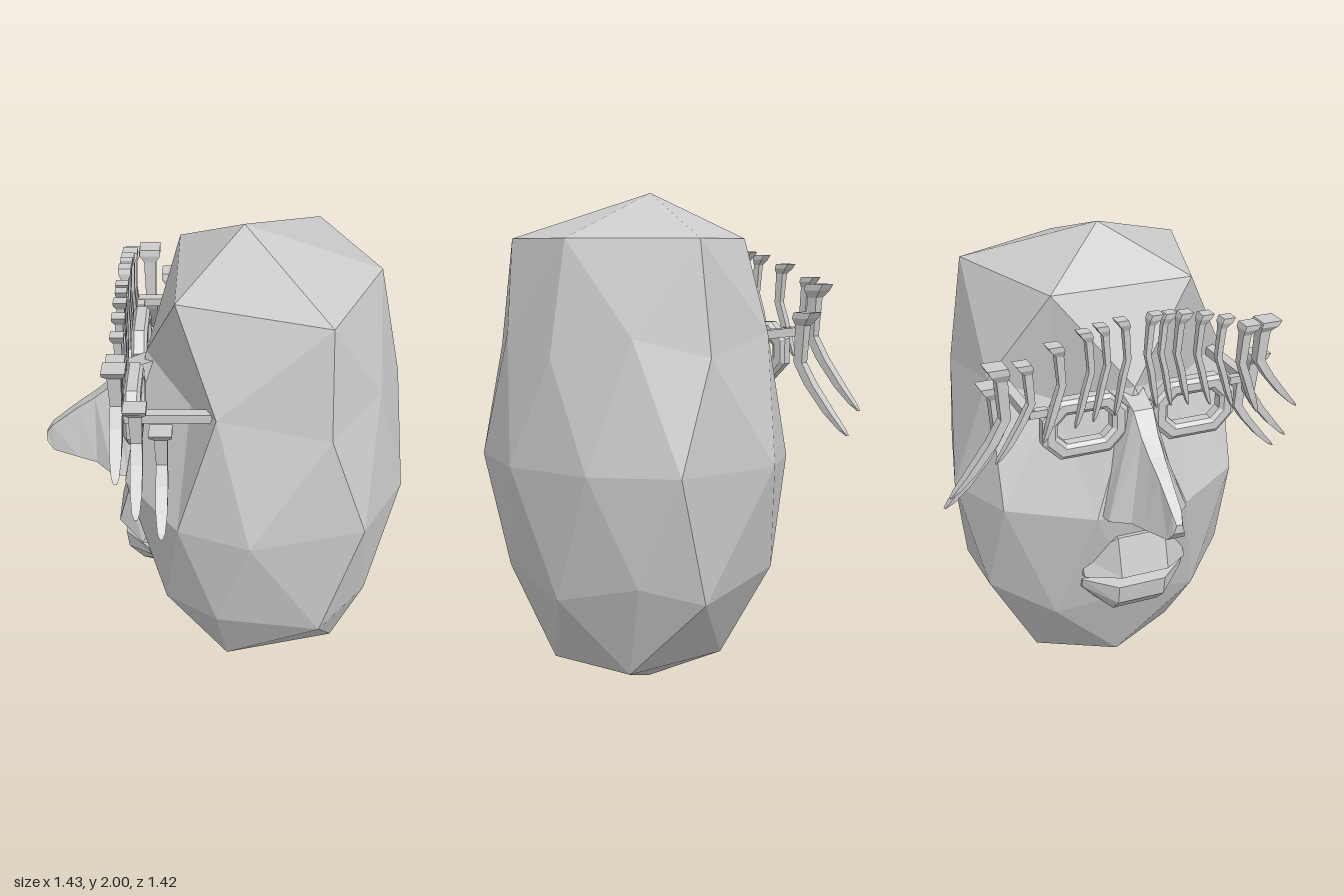
import * as THREE from 'three';

const ZC = 0.037; // symmetry plane of the head
const material = new THREE.MeshStandardMaterial({ color: 0xcccccc, flatShading: true });

function addMesh(parent, geometry, name) {
  const mesh = new THREE.Mesh(geometry, material);
  mesh.name = name;
  parent.add(mesh);
  return mesh;
}

// Faceted geometry from triangles of points, turned outwards by signed volume
function facets(tris) {
  const volume = tris.reduce((s, [a, b, c]) => s + a.dot(b.clone().cross(c)), 0);
  const points = tris.flatMap(([a, b, c]) => (volume < 0 ? [a, c, b] : [a, b, c]));
  const g = new THREE.BufferGeometry().setFromPoints(points);
  g.computeVertexNormals();
  return g;
}

// Closed skin over equal-sized cross-sections, capped at both ends
function loft(sections) {
  const rings = sections.map(s => s.map(p => new THREE.Vector3(...p)));
  const tris = [], n = rings[0].length, last = rings[rings.length - 1];
  for (let r = 0; r + 1 < rings.length; r++) {
    const a = rings[r], b = rings[r + 1];
    for (let i = 0; i < n; i++) {
      const j = (i + 1) % n;
      tris.push([a[i], a[j], b[j]], [a[i], b[j], b[i]]);
    }
  }
  for (let i = 1; i + 1 < n; i++) {
    tris.push([rings[0][0], rings[0][i + 1], rings[0][i]], [last[0], last[i], last[i + 1]]);
  }
  return facets(tris);
}

// Head: subdivided icosahedron pattern, each ring given as [x, y, half width]
function headGeometry() {
  const point = ([x, y, h], side) => new THREE.Vector3(x, y, ZC + side * h);
  const ring = half => [
    ...half.map(p => point(p, 1)),
    ...half.filter(p => p[2] > 0).reverse().map(p => point(p, -1)),
  ];
  const top = new THREE.Vector3(0.08, 2, ZC), bottom = new THREE.Vector3(0.1, 0, ZC);
  const crown = ring([[0.6, 1.82, 0], [0.39, 1.82, 0.466], [-0.17, 1.82, 0.288]]);
  const brow = ring([[0.69, 1.38, 0], [0.59, 1.46, 0.308], [0.4, 1.39, 0.524],
    [-0.02, 1.46, 0.498], [-0.12, 1.38, 0.27], [-0.3, 1.46, 0]]);
  const middle = ring([[0.715, 0.96, 0.19], [0.545, 0.96, 0.498], [0.105, 0.96, 0.616],
    [-0.17, 0.955, 0.498], [-0.39, 0.965, 0.19]]);
  const jaw = ring([[0.665, 0.455, 0], [0.58, 0.53, 0.324], [0.39, 0.455, 0.498],
    [-0.02, 0.53, 0.524], [-0.23, 0.465, 0.308], [-0.3, 0.53, 0]]);
  const chin = ring([[0.467, 0.145, 0.193], [0.02, 0.145, 0.31], [-0.145, 0.145, 0]]);
  const tris = [];
  for (let i = 0; i < 5; i++) {
    const j = (i + 1) % 5, e = 2 * i, o = e + 1, f = (e + 2) % 10, q = (e + 3) % 10;
    tris.push([top, crown[j], crown[i]], [crown[i], brow[o], brow[e]],
      [crown[i], crown[j], brow[o]], [crown[j], brow[f], brow[o]]);
    tris.push([bottom, chin[i], chin[j]], [chin[i], jaw[o], jaw[f]],
      [chin[i], jaw[f], chin[j]], [chin[j], jaw[f], jaw[q]]);
  }
  for (let k = 0; k < 10; k++) {
    const n = (k + 1) % 10;
    tris.push([brow[k], brow[n], middle[k]], [middle[k], brow[n], middle[n]],
      [jaw[k], middle[k], jaw[n]], [middle[k], middle[n], jaw[n]]);
  }
  return facets(tris);
}

// Nose: trapezoid sections [x, top y, bottom y, top half width, bottom half width]
function noseGeometry() {
  return loft([
    [-0.717, 1.08, 1.045, 0.012, 0.022], [-0.69, 1.12, 1.01, 0.02, 0.035],
    [-0.58, 1.21, 1.0, 0.025, 0.075], [-0.51, 1.26, 0.995, 0.03, 0.1],
    [-0.44, 1.32, 0.98, 0.035, 0.165], [-0.38, 1.4, 0.975, 0.04, 0.168],
    [-0.22, 1.46, 0.97, 0.05, 0.17],
  ].map(([x, t, b, ht, hb]) => [[x, t, ZC - ht], [x, t, ZC + ht], [x, b, ZC + hb], [x, b, ZC - hb]]));
}

// Lip: an x-y profile swept across the mouth, sinking back and closing at the corners
function lipGeometry(profile) {
  return loft([[-0.22, 0.12, 0.45], [-0.1, 0.02, 1], [0.1, 0.02, 1], [0.22, 0.12, 0.45]]
    .map(([z, back, s]) => profile.map(([x, y]) => [x + back - 0.02, 0.655 + (y - 0.655) * s, ZC + z])));
}

// Rim of one lens: rounded frame with a hole
function rimGeometry() {
  const outline = (Path, w, h, c) => new Path([
    [-w, -h + c], [-w + c, -h], [w - c, -h], [w, -h + c],
    [w, h - c], [w - c, h], [-w + c, h], [-w, h - c],
  ].map(p => new THREE.Vector2(...p)));
  const shape = outline(THREE.Shape, 0.155, 0.105, 0.06);
  shape.holes.push(outline(THREE.Path, 0.125, 0.075, 0.045));
  const g = new THREE.ExtrudeGeometry(shape, {
    depth: 0.04, bevelEnabled: true, bevelSegments: 1, bevelSize: 0.015, bevelThickness: 0.012,
  });
  return g.translate(0, 0, -0.02).rotateY(Math.PI / 2);
}

// Lash: flared head, slim stem and a tip that sweeps sideways
function lashGeometry({ x, z, top, tip, w, reach }) {
  const dir = Math.sign(reach), h = top - tip;
  return loft([
    // [drop, sideways offset, half width in x, half depth in z]
    [0, dir * 0.02, w, w * 0.95], [0.05, dir * 0.01, w, w * 0.85],
    [0.11, 0, w * 0.6, w * 0.5], [0.42, -dir * 0.01, w * 0.5, w * 0.45],
    [0.6, reach * 0.2, w * 0.55, w * 0.45], [0.82, reach * 0.6, w * 0.5, w * 0.4],
    [0.95, reach * 0.88, w * 0.35, w * 0.25], [1, reach, w * 0.15, w * 0.08],
  ].map(([d, dz, hx, hz]) => [[-1, -1], [1, -1], [1, 1], [-1, 1]]
    .map(([sx, sz]) => [x + sx * hx, top - d * h, z + dz + sz * hz])));
}

export function createModel() {
  const model = new THREE.Group();
  model.name = 'headWithGlasses';

  addMesh(model, headGeometry(), 'head');
  addMesh(model, noseGeometry(), 'nose');

  const mouth = new THREE.Group();
  mouth.name = 'mouth';
  addMesh(mouth, lipGeometry([[-0.385, 0.86], [-0.43, 0.7], [-0.31, 0.665], [-0.29, 0.86]]), 'upperLip');
  addMesh(mouth, lipGeometry([[-0.31, 0.655], [-0.405, 0.64], [-0.395, 0.56], [-0.335, 0.5], [-0.22, 0.47]]), 'lowerLip');
  model.add(mouth);

  // Glasses: two rims, a bridge and two temples
  const glasses = new THREE.Group();
  glasses.name = 'glasses';
  for (const side of [-1, 1]) {
    addMesh(glasses, rimGeometry(), 'rim').position.set(-0.335, 1.36, ZC + side * 0.225);
    addMesh(glasses, new THREE.BoxGeometry(0.33, 0.035, 0.04), 'temple').position.set(-0.19, 1.445, ZC + side * 0.443);
    addMesh(glasses, new THREE.BoxGeometry(0.03, 0.03, 0.07), 'hinge').position.set(-0.345, 1.445, ZC + side * 0.41);
  }
  addMesh(glasses, new THREE.BoxGeometry(0.03, 0.03, 0.13), 'bridge').position.set(-0.335, 1.39, ZC);
  model.add(glasses);

  // Lashes: an arched row in front of the rims
  const lashes = new THREE.Group();
  lashes.name = 'lashes';
  const row = [[-0.42, 0.03], [-0.3, 0.03], [-0.185, 0.025], [-0.12, 0.024], [-0.04, 0.024],
    [0.06, 0.024], [0.115, 0.022], [0.18, 0.025], [0.265, 0.025], [0.355, 0.025], [0.455, 0.034]];
  for (const [z, w] of row) {
    const top = 1.78 - 0.55 * (z - ZC) ** 2, out = Math.abs(z - ZC);
    addMesh(lashes, lashGeometry({
      x: -0.377, z, w, top, tip: top - 0.38, reach: Math.sign(z - ZC) * (z < -0.4 ? 0.13 : 0.03 + 0.1 * out),
    }), 'lash');
  }
  // Long lashes beside the temples
  for (const [x, z, top, tip, reach] of [
    [-0.377, 0.53, 1.69, 1.3, 0.17], [-0.31, 0.53, 1.53, 1.14, 0.17], [-0.22, 0.53, 1.43, 1.05, 0.17],
    [-0.31, -0.5, 1.64, 1.14, -0.21], [-0.22, -0.5, 1.53, 1.05, -0.21],
  ]) addMesh(lashes, lashGeometry({ x, z, top, tip, reach, w: 0.042 }), 'sideLash');
  model.add(lashes);

  return model;
}
